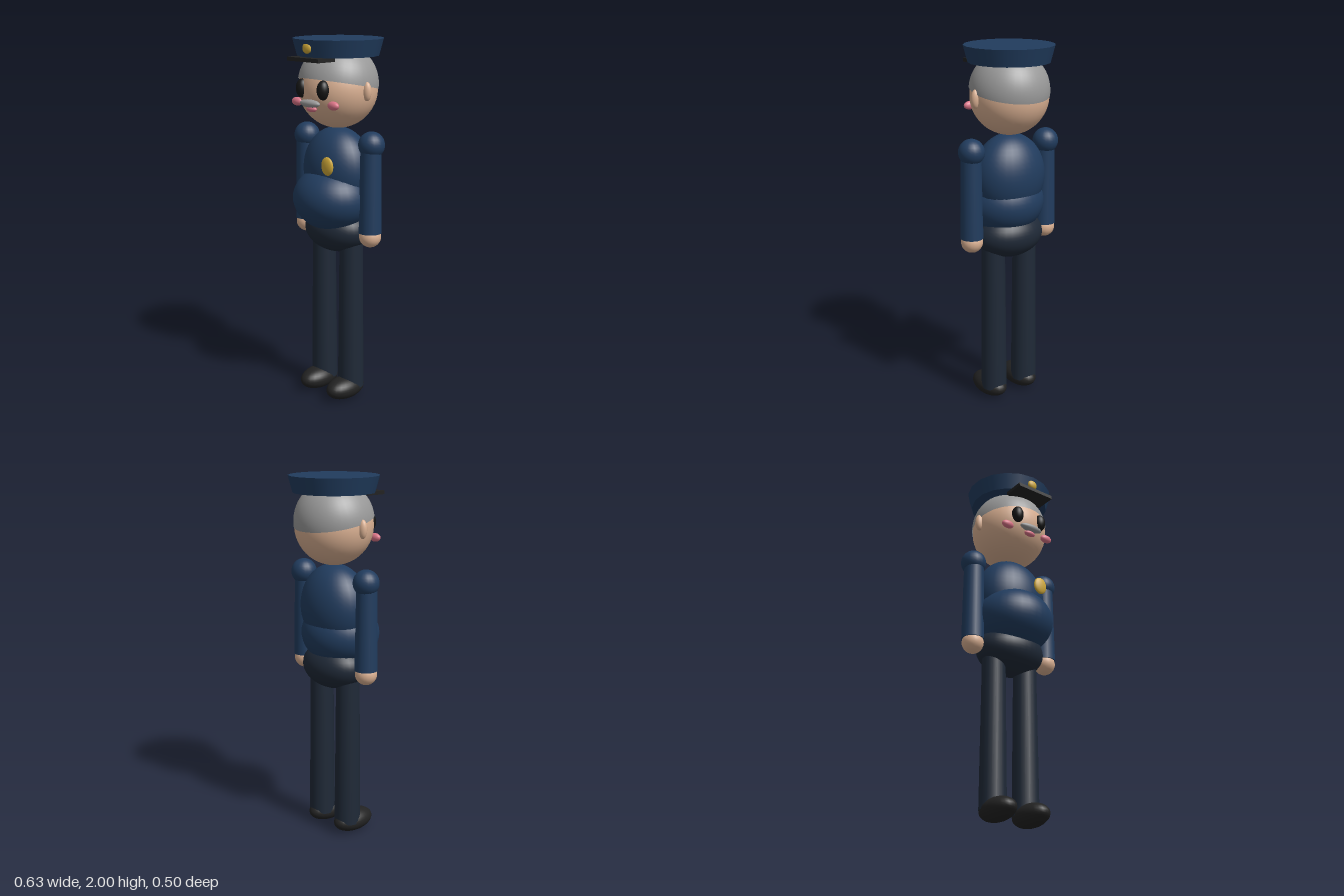
import * as THREE from 'three';

const mat = (name, color) => {
  const m = new THREE.MeshStandardMaterial({ color });
  m.name = name;
  return m;
};

export function createModel() {
  const shirt = mat('uniform blue', 0x213c5e);
  const trousers = mat('trouser navy', 0x1f2937);
  const skin = mat('skin', 0xdbb193);
  const grey = mat('hair grey', 0x999999);
  const black = mat('shoe black', 0x222222);
  const eyeBlack = mat('eye black', 0x151515);
  const gold = mat('badge gold', 0xd0a93a);
  const pink = mat('cheek pink', 0xdb7588);

  const model = new THREE.Group();
  model.name = 'officer';
  const Z = -0.01; // body axis

  const add = (name, geometry, material, x, y, z) => {
    const mesh = new THREE.Mesh(geometry, material);
    mesh.name = name;
    mesh.position.set(x, y, z);
    model.add(mesh);
    return mesh;
  };
  const ellipsoid = (name, material, [x, y, z], [rx, ry, rz], seg = 24) =>
    add(name, new THREE.SphereGeometry(1, seg, Math.round(seg * 0.75)).scale(rx, ry, rz), material, x, y, z);
  const limb = (name, material, x, y0, y1, r0, r1) =>
    add(name, new THREE.CylinderGeometry(r1, r0, y1 - y0, 18), material, x, (y0 + y1) / 2, Z + 0.005);

  // Body
  ellipsoid('torso', shirt, [0, 1.3, -0.006], [0.21, 0.232, 0.164], 32);
  ellipsoid('belly', shirt, [0, 1.145, 0.037], [0.222, 0.178, 0.208], 32);
  ellipsoid('hips', trousers, [0, 0.97, -0.004], [0.2, 0.13, 0.155], 32);
  ellipsoid('chestBadge', gold, [0.09, 1.347, 0.163], [0.042, 0.05, 0.016], 18);

  // Head and a hair cap tilted down towards the back
  ellipsoid('head', skin, [0, 1.737, Z], [0.212, 0.212, 0.212], 36);
  const hair = add('hair', new THREE.SphereGeometry(0.216, 36, 16, 0, Math.PI * 2, 0, Math.PI / 2),
    grey, 0, 1.76, Z);
  hair.rotation.x = -0.19;
  hair.material.side = THREE.DoubleSide;

  // Face
  ellipsoid('moustache', grey, [0, 1.673, 0.2], [0.072, 0.021, 0.024]);
  ellipsoid('mouth', pink, [0, 1.643, 0.188], [0.036, 0.016, 0.017]);

  // Cap with flared crown, peak and badge
  add('capCrown', new THREE.CylinderGeometry(0.243, 0.219, 0.09, 18), shirt, 0, 1.955, Z);
  add('capPeak', new THREE.BoxGeometry(0.232, 0.02, 0.12), black, 0, 1.9, 0.191);
  ellipsoid('capBadge', gold, [0, 1.957, 0.218], [0.031, 0.028, 0.014], 14);

  // Mirrored parts
  for (const [side, s] of [['left', 1], ['right', -1]]) {
    ellipsoid(side + 'Eye', eyeBlack, [s * 0.078, 1.745, 0.179], [0.034, 0.051, 0.035]);
    ellipsoid(side + 'Cheek', pink, [s * 0.135, 1.669, 0.163], [0.038, 0.023, 0.02]);
    ellipsoid(side + 'Ear', skin, [s * 0.213, 1.735, Z + 0.004], [0.025, 0.05, 0.022], 18);

    ellipsoid(side + 'Shoulder', shirt, [s * 0.245, 1.459, Z], [0.071, 0.071, 0.071], 20);
    limb(side + 'Arm', shirt, s * 0.245, 0.985, 1.46, 0.062, 0.055);
    ellipsoid(side + 'Hand', skin, [s * 0.245, 0.965, Z + 0.005], [0.06, 0.06, 0.06], 20);

    limb(side + 'Leg', trousers, s * 0.105, 0.065, 0.97, 0.073, 0.064);
    ellipsoid(side + 'Shoe', black, [s * 0.105, 0.064, 0.039], [0.077, 0.063, 0.13]);
  }
  return model;
}
